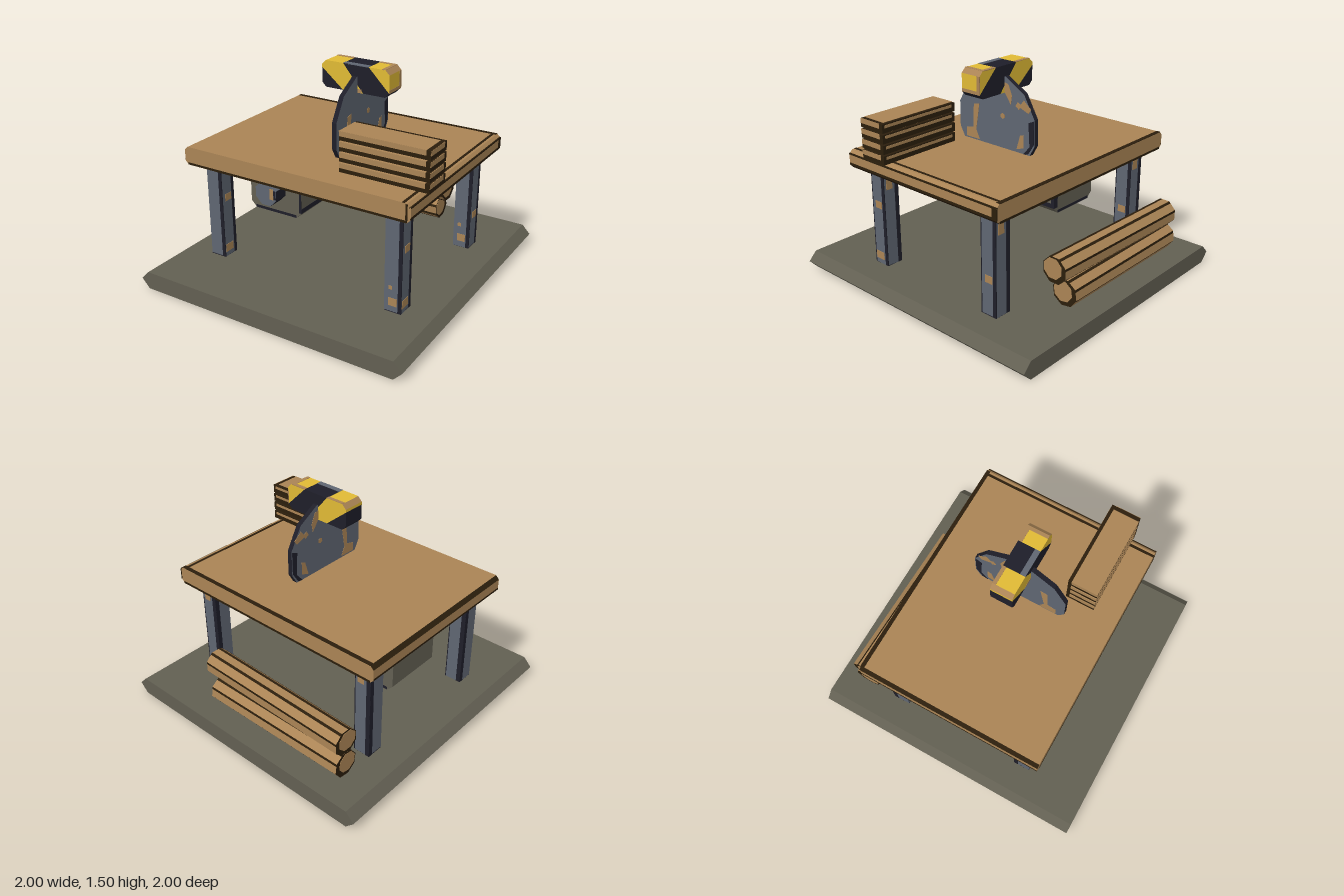
import * as THREE from 'three';

const material = (name, color) => {
  const m = new THREE.MeshStandardMaterial({ color });
  m.name = name;
  return m;
};

export function createModel() {
  const model = new THREE.Group();
  model.name = 'sawBench';
  const wood = material('wood', 0xaa8455);
  const bark = material('darkWood', 0x2b1e0c);
  const slate = material('steel', 0x5f6672);
  const navy = material('darkSteel', 0x1e1e29);
  const stone = material('concrete', 0x625f52);
  const yellow = material('yellow', 0xe0ba35);
  stone.side = THREE.DoubleSide; // the floor slab is an open shell

  const add = (name, geometry, mat, parent = model) => {
    const mesh = new THREE.Mesh(geometry, mat);
    mesh.name = name;
    parent.add(mesh);
    return mesh;
  };

  // box from its limits
  const box = (name, mat, x0, x1, y0, y1, z0, z1, parent = model) => {
    const g = new THREE.BoxGeometry(x1 - x0, y1 - y0, z1 - z0);
    g.translate((x0 + x1) / 2, (y0 + y1) / 2, (z0 + z1) / 2);
    return add(name, g, mat, parent);
  };

  // convex prism along z, one material per side (null leaves it open) and one for the caps
  const prism = (name, pts, z0, z1, cap, sides = [cap], parent = model) => {
    const pos = [], mats = [], g = new THREE.BufferGeometry();
    const put = (...verts) => verts.forEach(([p, z]) => pos.push(p[0], p[1], z));
    const group = (mat, start) => {
      if (!mats.includes(mat)) mats.push(mat);
      g.addGroup(start, pos.length / 3 - start, mats.indexOf(mat));
    };
    pts.forEach((a, i) => {
      const b = pts[(i + 1) % pts.length], start = pos.length / 3, mat = sides[i % sides.length];
      if (!mat) return;
      put([a, z0], [b, z0], [b, z1], [a, z0], [b, z1], [a, z1]);
      group(mat, start);
    });
    const start = pos.length / 3;
    for (let i = 1; i < pts.length - 1; i++) {
      put([pts[0], z1], [pts[i], z1], [pts[i + 1], z1]);
      put([pts[0], z0], [pts[i + 1], z0], [pts[i], z0]);
    }
    group(cap, start);
    g.setAttribute('position', new THREE.Float32BufferAttribute(pos, 3));
    g.computeVertexNormals();
    return add(name, g, mats, parent);
  };

  // rectangle with cut corners; sides run bottom, right, top, left
  const cutRect = (x0, x1, y0, y1, c) => [
    [x0 + c, y0], [x1 - c, y0], [x1, y0 + c], [x1, y1 - c],
    [x1 - c, y1], [x0 + c, y1], [x0, y1 - c], [x0, y0 + c]];
  const ngon = (n, r, cx, cy) => Array.from({ length: n }, (_, i) => {
    const a = ((i + 0.5) / n) * Math.PI * 2;
    return [cx + r * Math.cos(a), cy + r * Math.sin(a)];
  });

  // floor slab, open underneath
  prism('floorSlab', [[-0.94, 0], [0.94, 0], [1, 0.063], [0.94, 0.125], [-0.94, 0.125], [-1, 0.063]], -1, 1, stone,
    [null, stone, stone, stone, stone, stone]);

  // table top with worn dark edges
  prism('tableTop', cutRect(-0.845, 0.845, 0.815, 0.94, 0.025), -0.655, 0.655, wood,
    [wood, bark, wood, wood, wood, bark, wood, bark]);
  const edges = new THREE.Group();
  edges.name = 'tableEdges';
  model.add(edges);
  box('topRightEdge', bark, 0.785, 0.803, 0.938, 0.942, -0.655, 0.655, edges);
  box('topBackEdge', bark, -0.82, 0.82, 0.938, 0.942, -0.657, -0.63, edges);
  box('rightUpperEdge', bark, 0.834, 0.847, 0.912, 0.922, -0.655, 0.655, edges);
  box('rightLowerEdge', bark, 0.84, 0.847, 0.84, 0.856, -0.655, 0.655, edges);
  box('rightBackEdge', bark, 0.84, 0.847, 0.84, 0.915, -0.657, -0.62, edges);
  box('frontRightEdge', bark, 0.81, 0.823, 0.832, 0.935, 0.65, 0.657, edges);
  for (const z of [-0.654, 0.654]) box('lowerEdge', bark, -0.82, 0.82, 0.815, 0.83, z - 0.003, z + 0.003, edges);
  box('leftLowerEdge', bark, -0.847, -0.84, 0.84, 0.852, -0.655, 0.655, edges);

  // legs with dark corner strips, standing in the slab's top
  for (const x of [-0.69, 0.69]) for (const z of [-0.5, 0.5]) {
    const leg = new THREE.Group();
    leg.name = 'leg';
    leg.position.set(x, 0, z);
    model.add(leg);
    box('legPost', slate, -0.06, 0.06, 0.126, 0.82, -0.06, 0.06, leg);
    box('legFrontStrip', navy, 0.036, 0.061, 0.126, 0.82, 0.056, 0.062, leg);
    box('legRightStrip', navy, 0.056, 0.062, 0.126, 0.82, -0.061, -0.036, leg);
    box('legBackStrip', navy, -0.061, -0.03, 0.126, 0.82, -0.062, -0.056, leg);
    box('legLeftStrip', navy, -0.062, -0.056, 0.126, 0.82, -0.061, -0.03, leg);
    box('legFoot', navy, -0.06, 0.06, 0.121, 0.13, -0.06, 0.06, leg);
    const y = z > 0 ? 0.54 : 0.35;
    box('rustSpot', wood, 0.056, 0.063, y, y + 0.05, -0.03, 0.03, leg);
    if (z > 0) box('rustFoot', wood, 0.056, 0.063, 0.16, 0.215, -0.025, 0.05, leg);
    if (x > 0) {
      box('rustFront', wood, -0.03, 0.03, 0.17, 0.225, 0.056, 0.063, leg);
      box('rustDot', wood, -0.03, -0.005, 0.285, 0.31, 0.056, 0.063, leg);
    }
    box('rustBack', wood, -0.01, 0.04, 0.68, 0.75, -0.063, -0.056, leg);
  }

  // saw blade, drawn in a plane and turned to face sideways
  const saw = new THREE.Group();
  saw.name = 'sawBlade';
  saw.rotation.y = Math.PI / 2;
  model.add(saw);
  prism('bladeDisc', ngon(12, 0.342, 0, 1.097), 0.106, 0.139, slate, [navy], saw);
  const patches = [
    [wood, [[-0.27, 0.95], [-0.15, 0.95], [-0.19, 1.03], [-0.27, 1.01]]],
    [wood, [[-0.21, 1.01], [-0.18, 1.02], [-0.15, 1.2], [-0.2, 1.19]]],
    [wood, [[0.06, 1.35], [0.13, 1.25], [0.14, 1.31], [0.11, 1.38], [0.07, 1.39]]],
    [wood, [[0.2, 1.25], [0.28, 1.22], [0.3, 1.25], [0.24, 1.3]]],
    [wood, [[0.18, 0.96], [0.24, 0.98], [0.24, 1.07], [0.21, 1.06]]],
    [wood, [[0.17, 1.25], [0.2, 1.23], [0.22, 1.26], [0.19, 1.28]]],
    [wood, ngon(6, 0.02, 0.06, 1.16)],
    [navy, [[0.29, 1.0], [0.325, 1.02], [0.325, 1.18], [0.28, 1.16]]],
    [navy, [[0.23, 0.93], [0.28, 0.95], [0.325, 1.02], [0.29, 1.0]]],
    [navy, [[-0.09, 0.77], [0.09, 0.77], [0.09, 0.815], [-0.09, 0.815]]]];
  for (const [mat, pts] of patches) for (const x of [0.104, 0.137]) prism('bladePatch', pts, x, x + 0.004, mat, [mat], saw);

  // blade guard made of slanted stripes
  const guard = new THREE.Group();
  guard.name = 'bladeGuard';
  model.add(guard);
  const stripe = (mat, pts, sides) => prism('guardStripe', pts, -0.077, 0.077, mat, sides, guard);
  stripe(navy, [[-0.13, 1.45], [-0.13, 1.35], [-0.1, 1.32], [0.03, 1.32]]);
  stripe(yellow, [[-0.13, 1.45], [0.03, 1.32], [0.18, 1.32], [0.03, 1.5], [-0.1, 1.5], [-0.13, 1.47]],
    [yellow, wood, yellow, yellow, wood, yellow]);
  stripe(navy, [[0.03, 1.5], [0.18, 1.32], [0.34, 1.32], [0.37, 1.35], [0.22, 1.5]]);
  stripe(yellow, [[0.22, 1.5], [0.37, 1.35], [0.37, 1.47], [0.34, 1.5]], [yellow, yellow, wood, yellow]);
  box('guardEndRust', wood, 0.366, 0.372, 1.35, 1.47, -0.077, -0.052, guard);
  box('guardEndLowerRust', wood, 0.366, 0.372, 1.35, 1.372, -0.052, 0.077, guard);
  box('guardTopRust', wood, 0.315, 0.34, 1.497, 1.502, -0.077, 0.077, guard);
  for (const [x0, x1] of [[-0.1, 0.03], [0.22, 0.315]]) box('guardTopBackRust', wood, x0, x1, 1.497, 1.502, -0.077, -0.052, guard);
  box('guardFrontRust', wood, 0.04, 0.17, 1.32, 1.345, 0.073, 0.079, guard);
  box('guardTopSteel', slate, 0.03, 0.22, 1.497, 1.502, 0.04, 0.077, guard);

  // stack of planks
  for (let i = 0; i < 4; i++) {
    const y = 0.94 + i * 0.0695, top = y + 0.059, mid = y + 0.027;
    const plank = new THREE.Group();
    plank.name = 'plank';
    model.add(plank);
    box('plankBody', bark, 0.252, 0.87, y, top, 0.272, 0.477, plank);
    box('plankTop', wood, 0.25, 0.84, top - 0.003, top + 0.002, 0.295, 0.478, plank);
    box('plankFront', wood, 0.252, 0.84, mid, top, 0.475, 0.479, plank);
    box('plankBack', wood, 0.28, 0.85, mid + 0.005, top - 0.008, 0.27, 0.275, plank);
    box('plankRightEnd', wood, 0.867, 0.872, mid, top, 0.3, 0.477, plank);
    box('plankLeftEnd', wood, 0.25, 0.255, mid, top, 0.295, 0.477, plank);
  }

  // motor under the table
  prism('motorHousing', cutRect(-0.65, -0.22, 0.38, 0.75, 0.042), -0.21, 0.22, stone,
    [stone, stone, stone, stone, stone, stone, stone, navy]);
  box('motorFrontRightEdge', navy, -0.238, -0.22, 0.422, 0.708, 0.216, 0.222);
  box('motorRightBackEdge', navy, -0.224, -0.218, 0.422, 0.708, -0.212, -0.187);
  box('motorLowerLine', navy, -0.224, -0.218, 0.422, 0.455, -0.21, 0.22);
  box('motorUpperLine', navy, -0.224, -0.218, 0.697, 0.708, -0.21, 0.22);
  box('motorBackRightEdge', navy, -0.26, -0.22, 0.422, 0.708, -0.212, -0.206);
  for (const z of [-0.209, 0.219]) box('motorLowerEdge', navy, -0.608, -0.262, 0.38, 0.4, z - 0.003, z + 0.003);
  prism('motorShaft', ngon(8, 0.093, -0.437, 0.565), 0.21, 0.33, slate, [slate, slate, slate, slate, navy, navy, navy, navy]);
  box('shaftRust', wood, -0.405, -0.375, 0.53, 0.61, 0.326, 0.332);
  box('shaftDarkEdge', navy, -0.373, -0.354, 0.535, 0.6, 0.326, 0.332);

  // logs: each facet carries a narrow dark seam
  const log = (length, x, y, z, yaw, spin) => {
    const corners = ngon(8, 0.095, 0, 0), pts = [];
    corners.forEach((a, i) => {
      const b = corners[(i + 1) % 8];
      pts.push(a, [a[0] + (b[0] - a[0]) * 0.76, a[1] + (b[1] - a[1]) * 0.76]);
    });
    const turn = new THREE.Group();
    turn.name = 'log';
    turn.position.set(x, y, z);
    turn.rotation.y = Math.PI / 2 + yaw;
    model.add(turn);
    const body = prism('logBody', pts, -length / 2, length / 2, bark, [wood, bark], turn);
    body.rotation.z = spin;
    for (const s of [-1, 1]) {
      const end = prism('logEnd', ngon(8, 0.074, -0.012, 0.008), s * length / 2 - 0.002, s * length / 2 + 0.002, wood, [wood], turn);
      end.rotation.z = spin;
    }
  };
  log(1.115, -0.19, 0.226, -0.78, 0, 0.15);
  log(1.18, -0.157, 0.398, -0.762, -0.025, 0);

  return model;
}
